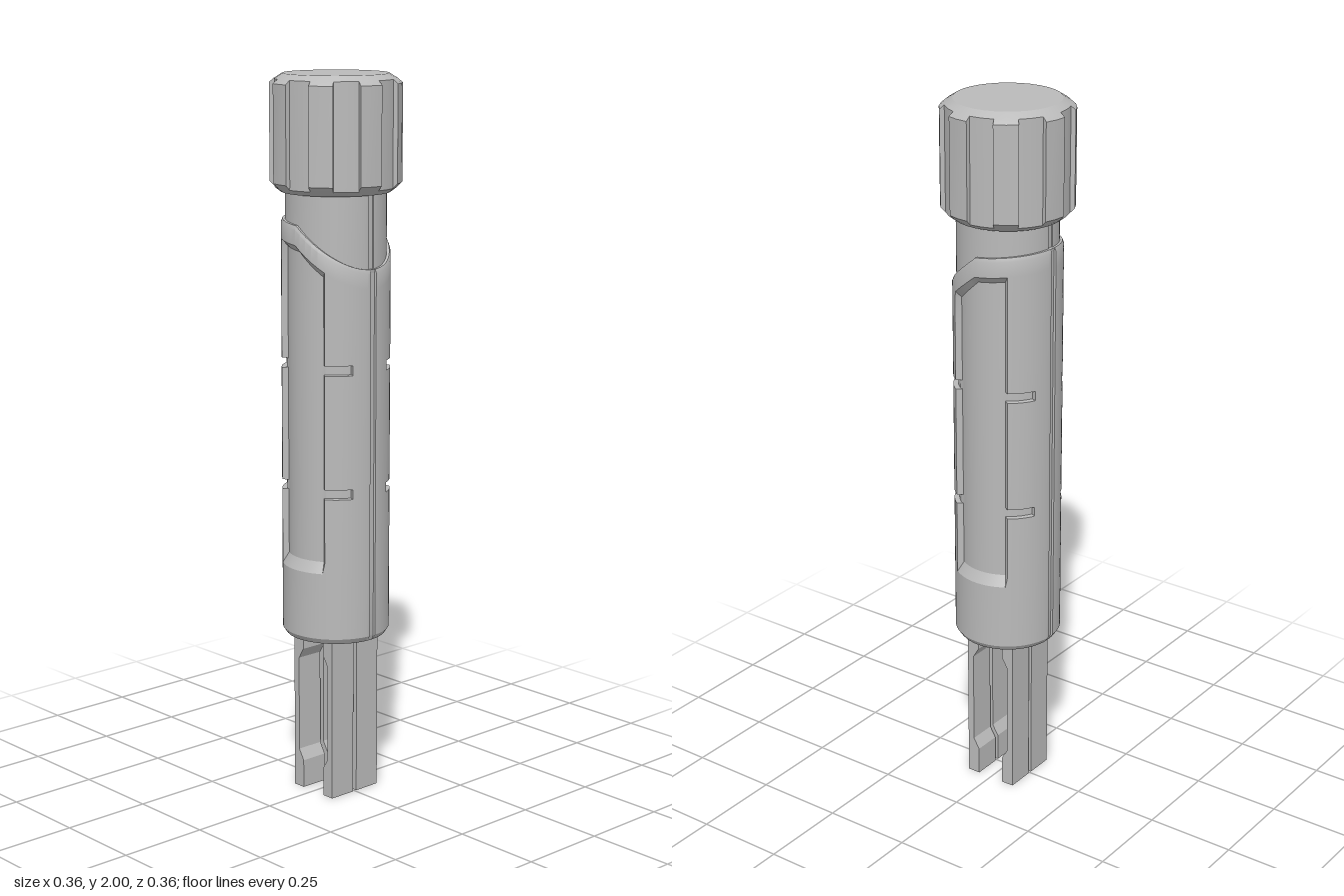
import * as THREE from 'three';
import { toCreasedNormals } from 'three/addons/utils/BufferGeometryUtils.js';

const RAD = Math.PI / 180;

// Polar loft: columns are angles in degrees from +z towards +x, rows run upwards.
// rule(angle, row) gives [radius, height].
function loft(cols, rows, rule) {
  const pos = [], idx = [], n = cols.length;
  for (const row of rows) {
    for (const a of cols) {
      const [r, y] = rule(a, row);
      pos.push(r * Math.sin(a * RAD), y, r * Math.cos(a * RAD));
    }
  }
  for (let j = 0; j < rows.length - 1; j++) {
    for (let k = 0; k < n; k++) {
      const a = j * n + k, b = j * n + (k + 1) % n;
      idx.push(a, b, b + n, a, b + n, a + n);
    }
  }
  const g = new THREE.BufferGeometry();
  g.setAttribute('position', new THREE.Float32BufferAttribute(pos, 3));
  g.setIndex(idx);
  return toCreasedNormals(g, 0.5);
}

// Angle folded into one quadrant, 0 at front/back and 90 at the sides
function fold(a) {
  const m = a % 180;
  return m > 90 ? 180 - m : m;
}

// Slanted upper rim of the grip
function rimHeight(a) {
  const x = 0.148 * Math.sin(a * RAD);
  return x > 0 ? 1.605 - 0.78 * x : 1.605 - 0.1 * x;
}

export function createModel() {
  const model = new THREE.Group();
  model.name = 'handheldTool';
  const grey = new THREE.MeshStandardMaterial({ color: 0xbababa });
  grey.name = 'grey';
  const add = (geometry, name) => {
    const mesh = new THREE.Mesh(geometry, grey);
    mesh.name = name;
    model.add(mesh);
    return mesh;
  };

  // Columns shared by the grip and neck, mirrored into four quadrants
  const quarter = [0, 7, 14, 21, 28, 33, 35.5, 41, 47, 53, 59, 65, 65.3, 71, 77, 82, 86.2, 86.5, 90];
  const cols = [...new Set([
    ...quarter,
    ...quarter.map(a => 180 - a).reverse(),
    ...quarter.map(a => 180 + a),
    ...quarter.map(a => 360 - a).reverse(),
  ])].filter(a => a < 360);

  // Grip: recessed front and back panels, side slots and seams at both sides
  const slots = [[0.87, 0.895], [1.21, 1.235]];
  const rows = [
    { y: 0.46, r: 0 }, { y: 0.46, r: 0.138 }, { y: 0.475 }, { y: 0.66 }, { y: 0.69 },
    ...slots.flatMap(([lo, hi]) => [lo - 0.001, lo, hi, hi + 0.001].map(y => ({ y }))),
    { y: 1.3 }, { y: 1.4 }, { y: 1.535 }, { y: 1.553 }, { y: 1.595 },
    { y: 1.605, r: 0.144 }, { y: 1.605, r: 0.134 },
  ];
  add(loft(cols, rows, (a, row) => {
    const f = fold(a);
    const t = Math.min(1, Math.max(0, (row.y - 1.3) / 0.235));
    const y = row.y + (rimHeight(a) - 1.605) * t;
    if (row.r !== undefined) return [row.r, y];
    let r = 0.148;
    if (f < 34 && row.y > 0.68 && row.y < 1.54) r = 0.131;
    if (f > 34 && f < 65.1 && slots.some(([lo, hi]) => row.y >= lo && row.y <= hi)) r = 0.134;
    if (f > 86.4) r = 0.142;
    return [r, y];
  }), 'grip');

  // Neck rising from the slanted rim into the cap
  add(loft(cols, [0, 1], (a, top) => [
    fold(a) > 86.4 ? 0.134 : 0.137,
    top ? 1.72 : rimHeight(a) - 0.005,
  ]), 'neck');

  // Cap with eight ribs and chamfered ends
  const capCols = [];
  for (let i = 0; i < 8; i++) {
    for (const a of [0, 11.75, 23.5, 23.6, 34.25, 44.9]) capCols.push(i * 45 + a);
  }
  const capRows = [
    [0, 1.687], [0.148, 1.687], [0.165, 1.70], [0.178, 1.713],
    [0.178, 1.975], [0.165, 1.986], [0.143, 2], [0, 2],
  ];
  add(loft(capCols, capRows, (a, [r, y]) => {
    const rib = a % 45 > 23.55;
    return [Math.min(r, rib ? 0.178 : 0.165), y];
  }), 'cap');

  // Four contact prongs, waisted on the inner side
  const outline = [
    [0.078, 0], [0.078, 0.48], [0.041, 0.48], [0.041, 0.41], [0.059, 0.38],
    [0.059, 0.11], [0.041, 0.08], [0.041, 0],
  ];
  for (const side of [1, -1]) {
    const pts = outline.map(([x, y]) => new THREE.Vector2(side * x, y));
    for (const z of [0.006, -0.086]) {
      const g = new THREE.ExtrudeGeometry(new THREE.Shape(pts), { depth: 0.08, bevelEnabled: false });
      g.translate(0, 0, z);
      add(g, (side > 0 ? 'left' : 'right') + (z > 0 ? 'Front' : 'Back') + 'Prong');
    }
  }
  return model;
}
